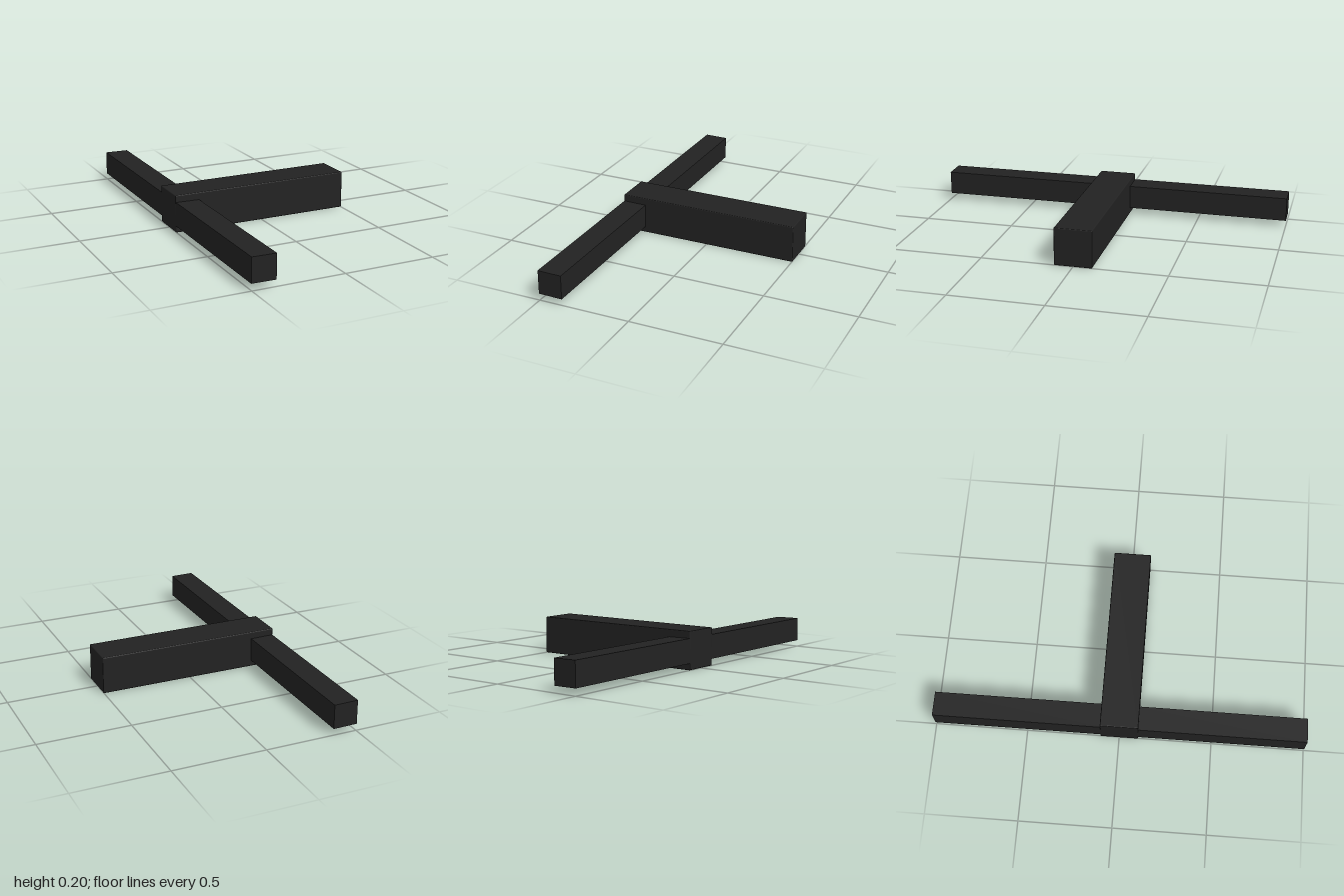
import * as THREE from 'three';
import { RoundedBoxGeometry } from 'three/addons/geometries/RoundedBoxGeometry.js';

export function createModel() {
  const group = new THREE.Group();
  const black = new THREE.MeshStandardMaterial({ color: 0x222222 });
  black.name = 'charcoal black';

  // thick central beam with barely softened edges
  const beam = new THREE.Mesh(new RoundedBoxGeometry(1.005, 0.205, 0.204, 2, 0.005), black);
  beam.name = 'beam';
  beam.position.set(0, 0.1025, 0);
  group.add(beam);

  // thinner arms on both sides, flush with the end of the beam
  const armLength = 0.92;
  for (const side of [1, -1]) {
    const arm = new THREE.Mesh(new THREE.BoxGeometry(0.131, 0.131, armLength), black);
    arm.name = side > 0 ? 'frontArm' : 'backArm';
    arm.position.set(-0.436, 0.101, side * (1 - armLength / 2));
    arm.rotation.z = -0.015;
    group.add(arm);
  }
  return group;
}
